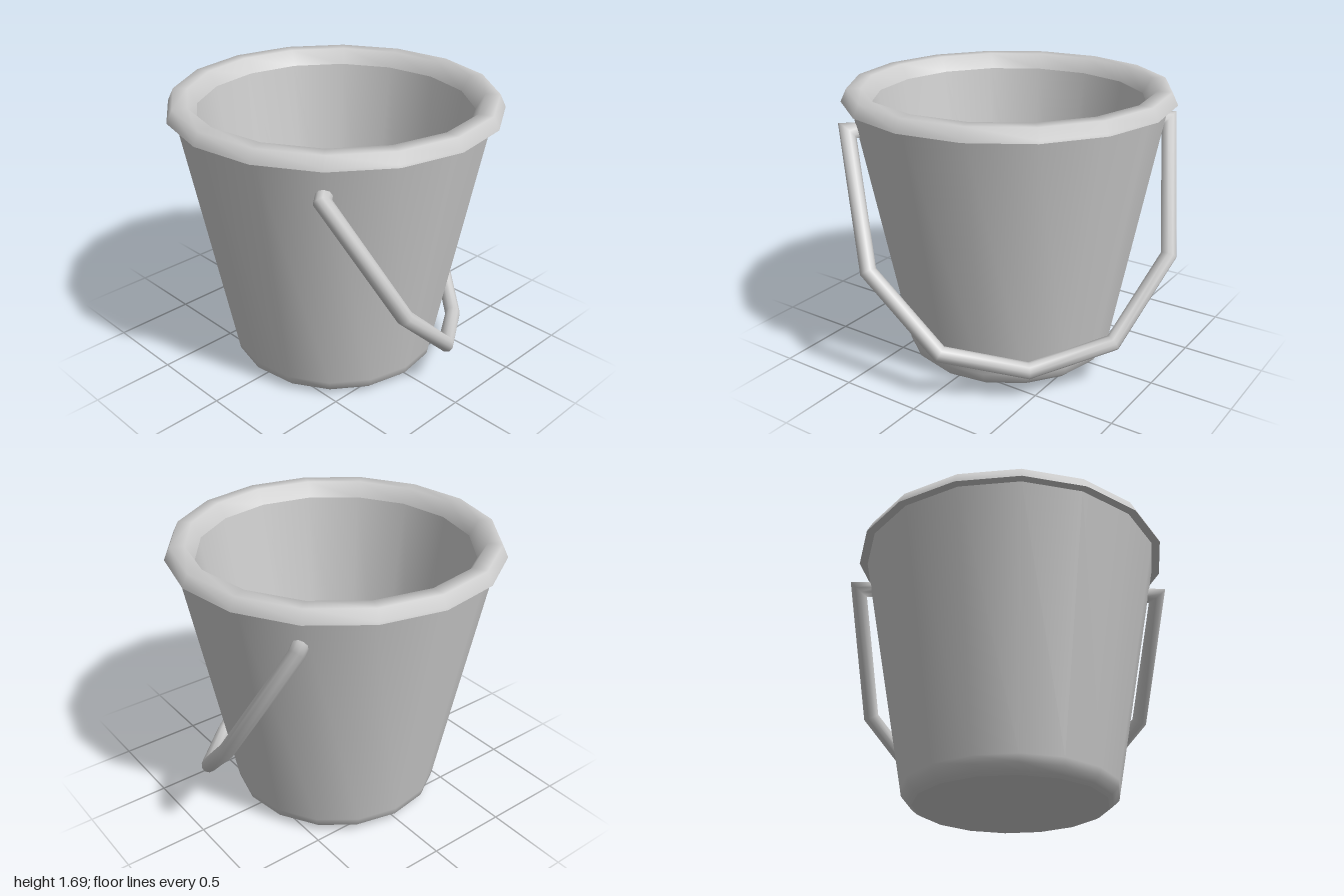
import * as THREE from 'three';

const SIDES = 16;
const TURN = -0.045; // slight twist of the polygonal body

const material = new THREE.MeshStandardMaterial({ color: 0xcccccc });

function lathe(name, profile) {
  const points = profile.map(([r, y]) => new THREE.Vector2(r, y));
  const mesh = new THREE.Mesh(new THREE.LatheGeometry(points, SIDES, TURN), material);
  mesh.name = name;
  mesh.position.z = 0.015;
  return mesh;
}

// Round bar with mitred corners along a flat path in the XY plane
function mitredBar(path, radius, sides) {
  const pts = path.map(([x, y]) => new THREE.Vector2(x, y));
  const positions = [], index = [];
  pts.forEach((p, i) => {
    const a = pts[Math.max(i - 1, 0)], b = pts[Math.min(i + 1, pts.length - 1)];
    const before = (i ? p.clone().sub(a) : b.clone().sub(p)).normalize();
    const after = (b !== p ? b.clone().sub(p) : p.clone().sub(a)).normalize();
    const along = before.clone().add(after).normalize();
    const stretch = radius / along.dot(before);
    for (let k = 0; k < sides; k++) {
      const t = (k / sides) * Math.PI * 2;
      const side = Math.cos(t) * stretch;
      positions.push(p.x - along.y * side, p.y + along.x * side, Math.sin(t) * radius);
      if (i < pts.length - 1) {
        const n = (k + 1) % sides, r0 = i * sides, r1 = r0 + sides;
        index.push(r0 + k, r1 + k, r0 + n, r0 + n, r1 + k, r1 + n);
      }
    }
  });
  const geometry = new THREE.BufferGeometry();
  geometry.setAttribute('position', new THREE.Float32BufferAttribute(positions, 3));
  // flip the winding so the faces look outwards
  for (let i = 0; i < index.length; i += 3) [index[i + 1], index[i + 2]] = [index[i + 2], index[i + 1]];
  geometry.setIndex(index);
  geometry.computeVertexNormals();
  return geometry;
}

export function createModel() {
  const bucket = new THREE.Group();
  bucket.name = 'bucket';

  // Tapered shell with a bevelled foot
  bucket.add(lathe('base', [[0, 0.005], [0.575, 0.005]]));
  bucket.add(lathe('outerWall', [[0.575, 0.005], [0.6, 0.02], [0.637, 0.055], [0.645, 0.1], [0.93, 1.62]]));
  bucket.add(lathe('innerWall', [[0.83, 1.62], [0.56, 0.14], [0.53, 0.09]]));
  bucket.add(lathe('floor', [[0.53, 0.09], [0, 0.09]]));

  // Overhanging rim
  bucket.add(lathe('rimUnderside', [[0.92, 1.615], [0.98, 1.615]]));
  bucket.add(lathe('rim', [[0.98, 1.615], [0.975, 1.628], [0.945, 1.69], [0.86, 1.69], [0.81, 1.6]]));

  // Swinging handle, resting against the side
  const half = [[0.85, 0], [0.965, 0], [0.88, -0.83], [0.5, -1.32]];
  const path = [...half, [0, -1.447], ...half.map(([x, y]) => [-x, y]).reverse()];
  const handle = new THREE.Mesh(mitredBar(path, 0.047, 10), material);
  handle.name = 'handle';
  handle.rotation.set(0.543, -0.849, 0, 'YXZ');
  handle.position.y = 1.44;
  bucket.add(handle);

  return bucket;
}
